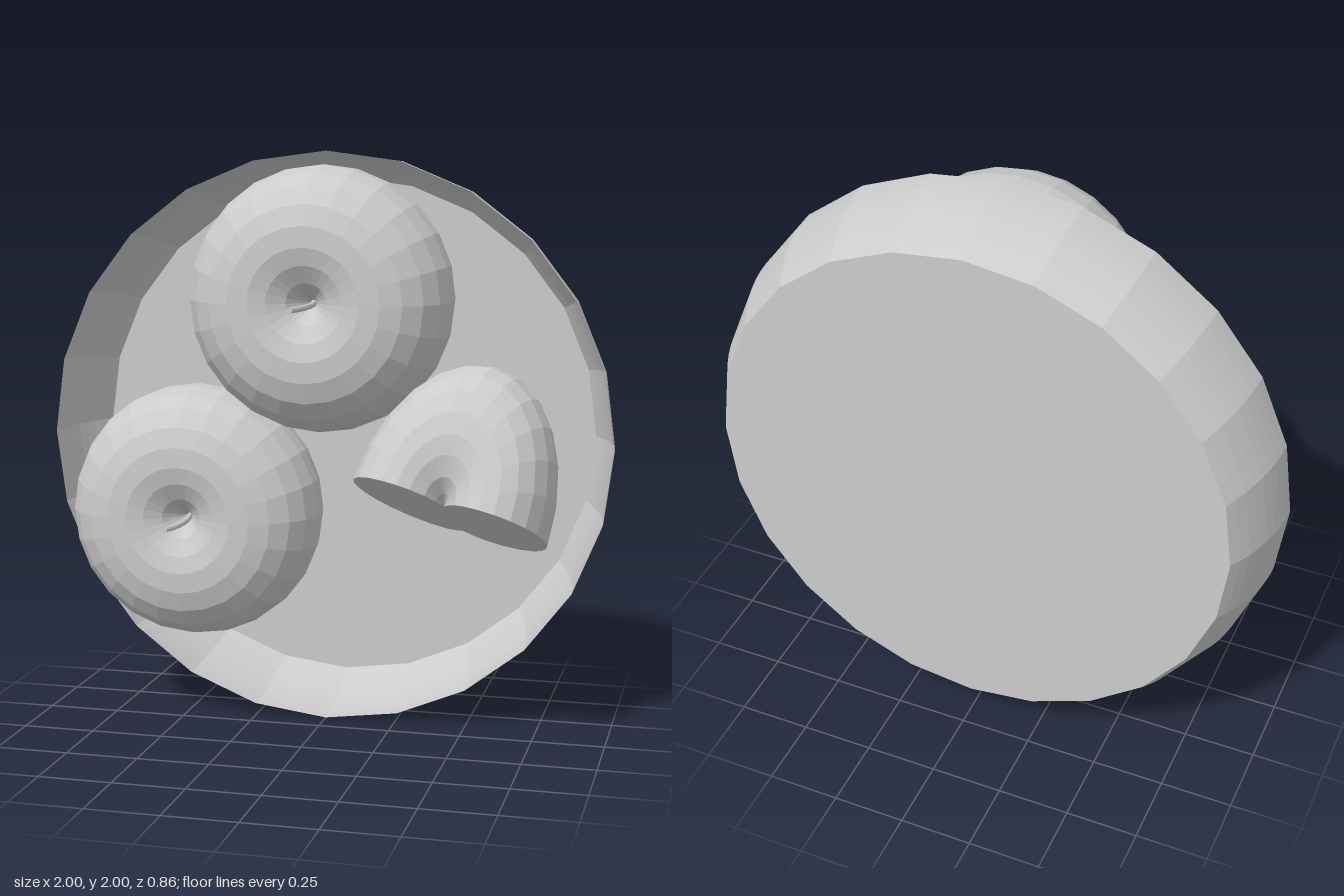
import * as THREE from 'three';

const SIDES = 24;
const mat = new THREE.MeshStandardMaterial({ color: 0xcccccc, flatShading: true });
const matOpen = new THREE.MeshStandardMaterial({ color: 0xcccccc, flatShading: true, side: THREE.DoubleSide });

// Apple half-section (radius, height), from bottom dimple to stem dimple; unit radius and half height
const appleProfile = [
  [0, -0.34], [0.04, -0.38], [0.1, -0.41], [0.18, -0.41], [0.28, -0.37], [0.36, -0.30],
  [0.41, -0.22], [0.44, -0.14], [0.455, -0.05], [0.453, 0.02], [0.432, 0.1], [0.39, 0.17],
  [0.33, 0.22], [0.26, 0.246], [0.19, 0.25], [0.13, 0.235], [0.07, 0.20], [0.03, 0.15], [0, 0.1],
].map(([r, h]) => new THREE.Vector2(r / 0.455, (h + 0.08) / 0.33));

function named(name, geometry, material = mat) {
  const mesh = new THREE.Mesh(geometry, material);
  mesh.name = name;
  return mesh;
}

// Whole apple whose stem points to +z
function makeApple(name, x, y, frontZ, radius, halfDepth) {
  const group = new THREE.Group();
  group.name = name;
  const body = new THREE.LatheGeometry(appleProfile, SIDES);
  body.scale(radius, halfDepth, radius).rotateX(Math.PI / 2).translate(0, 0, -halfDepth);
  group.add(named(name + 'Body', body));

  // Curved stem rising out of the dimple
  const path = new THREE.CatmullRomCurve3([
    new THREE.Vector3(0.005, 0, -0.15),
    new THREE.Vector3(0.026, 0, -0.03),
    new THREE.Vector3(0.026, 0, 0.08),
    new THREE.Vector3(0.006, 0, 0.18),
  ].map((p) => p.setZ(p.z > 0 ? p.z * (radius > 0.45 ? 1 : 0.8) : p.z)));
  group.add(named(name + 'Stem', new THREE.TubeGeometry(path, 10, 0.01, 8)));
  const tip = new THREE.CircleGeometry(0.01, 8);
  const end = path.getPoint(1);
  tip.translate(end.x, end.y, end.z);
  group.add(named(name + 'StemTip', tip, matOpen));

  group.position.set(x, y, frontZ);
  return group;
}

// Apple cut through its core, with a flat cut face
function makeHalfApple() {
  const group = new THREE.Group();
  group.name = 'halfApple';
  group.add(named('halfAppleSkin',
    new THREE.LatheGeometry(appleProfile, SIDES / 2, -Math.PI / 2, Math.PI)));
  const outline = [
    ...appleProfile,
    ...appleProfile.slice(1, -1).reverse().map((p) => new THREE.Vector2(-p.x, p.y)),
  ];
  const face = new THREE.ShapeGeometry(new THREE.Shape(outline)).rotateY(Math.PI);
  group.add(named('halfAppleCutFace', face));

  // Lean the core up and forward, cut side down
  const core = new THREE.Vector3(0, 0.38, 0.92).normalize();
  const across = new THREE.Vector3(-0.97, 0.23, -0.095).normalize();
  const dome = new THREE.Vector3().crossVectors(across, core).normalize();
  group.quaternion.setFromRotationMatrix(new THREE.Matrix4().makeBasis(across, core, dome));
  group.scale.set(0.34, 0.31, 0.52);
  group.position.set(0.475, 0.78, 0.045);
  return group;
}

export function createModel() {
  const model = new THREE.Group();
  model.name = 'fruitBowl';

  // Thin faceted bowl with a flat base, opening to +z
  const profile = [new THREE.Vector2(0, -0.43)];
  const steps = 8;
  const sweep = Math.acos(0.905);
  for (let i = 0; i <= steps; i++) {
    const a = sweep * (1 - i / steps);
    profile.push(new THREE.Vector2(Math.cos(a), -0.1 - 0.33 * Math.sin(a) / Math.sin(sweep)));
  }
  const bowl = new THREE.LatheGeometry(profile, SIDES).rotateX(Math.PI / 2).translate(0, 1, 0);
  model.add(named('bowl', bowl, matOpen));

  model.add(makeApple('topApple', 0.005, 1.5, 0.25, 0.455, 0.335));
  model.add(makeApple('lowerApple', -0.457, 0.745, 0.18, 0.445, 0.3));
  model.add(makeHalfApple());
  return model;
}
